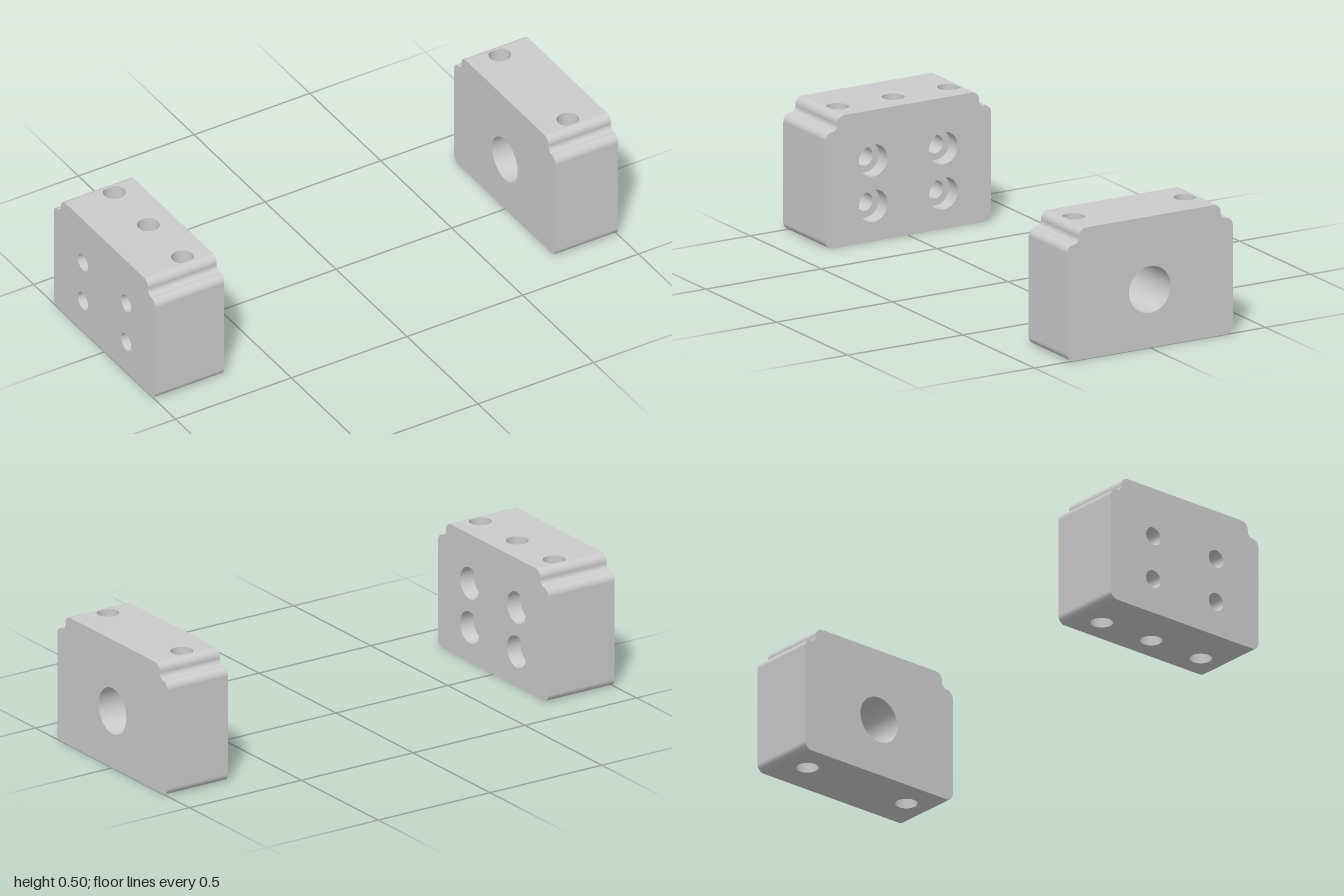
import * as THREE from 'three';

const BOTTOM = 0.003, TOP = 0.508, MID = 0.227;
const solid = new THREE.MeshStandardMaterial({ color: 0xcccccc });
const hollow = new THREE.MeshStandardMaterial({ color: 0xcccccc, side: THREE.DoubleSide });

// One half of the end profile, bottom to top, as tangent quarter arcs:
// centre z, centre y, radius, start and end angle, normal sign
const ARCS = [
  [0.328, 0.033, 0.03, -90, 0, 1],
  [0.328, 0.42, 0.03, 0, 90, 1],
  [0.328, 0.472, 0.022, 270, 180, -1],
  [0.276, 0.478, 0.03, 0, 90, 1],
];

function profile(steps = 10) {
  const pts = [];
  for (const [cz, cy, r, a0, a1, sign] of ARCS) {
    for (let i = 0; i <= steps; i++) {
      const a = THREE.MathUtils.degToRad(a0 + ((a1 - a0) * i) / steps);
      const c = Math.cos(a), s = Math.sin(a);
      pts.push({ z: cz + r * c, y: cy + r * s, nz: sign * c, ny: sign * s });
    }
  }
  return pts;
}

function add(parent, name, geometry, material = solid) {
  const mesh = new THREE.Mesh(geometry, material);
  mesh.name = name;
  parent.add(mesh);
  return mesh;
}

// Flat shape from corner points, pierced by circles [u, v, radius]
function pierced(points, circles) {
  const shape = new THREE.Shape(points.map(([u, v]) => new THREE.Vector2(u, v)));
  for (const [u, v, r] of circles) {
    shape.holes.push(new THREE.Path().absarc(u, v, r, 0, Math.PI * 2, true));
  }
  return new THREE.ShapeGeometry(shape, 24);
}

// Rounded wall swept across the block's width, facing +z
function endWall(pts, w) {
  const pos = [], nor = [], idx = [];
  pts.forEach((p, i) => {
    for (const x of [-w / 2, w / 2]) {
      pos.push(x, p.y, p.z);
      nor.push(0, p.ny, p.nz);
    }
    if (i) {
      const a = 2 * i - 2;
      idx.push(a, a + 1, a + 3, a, a + 3, a + 2);
    }
  });
  const g = new THREE.BufferGeometry();
  g.setAttribute('position', new THREE.Float32BufferAttribute(pos, 3));
  g.setAttribute('normal', new THREE.Float32BufferAttribute(nor, 3));
  g.setIndex(idx);
  return g;
}

// Bore wall along x from x0 to x1
function boreX(parent, name, r, x0, x1, y, z) {
  const g = new THREE.CylinderGeometry(r, r, x1 - x0, 48, 1, true).rotateZ(Math.PI / 2);
  add(parent, name, g, hollow).position.set((x0 + x1) / 2, y, z);
}

// Block shell: two pierced sides, pierced top and bottom, two rounded ends
function makeBlock(name, w, centre, boreOffset, boreZs, outerHoles, innerHoles) {
  const block = new THREE.Group();
  block.name = name;
  block.position.x = centre;
  const pts = profile();
  const outline = [
    ...pts.map((p) => [p.z, p.y]),
    ...pts.map((p) => [-p.z, p.y]).reverse(),
  ];
  add(block, 'leftSide', pierced(outline, outerHoles).rotateY(Math.PI / 2)).position.x = w / 2;
  add(block, 'rightSide', pierced(outline, innerHoles).rotateY(-Math.PI / 2)).position.x = -w / 2;

  add(block, 'frontWall', endWall(pts, w));
  add(block, 'backWall', endWall(pts, w).rotateY(Math.PI));

  const bores = boreZs.map((z) => [boreOffset, z, 0.042]);
  const plate = (d) => pierced([[-w / 2, -d], [w / 2, -d], [w / 2, d], [-w / 2, d]], bores);
  add(block, 'topFace', plate(0.276).rotateX(-Math.PI / 2)).position.y = TOP;
  add(block, 'bottomFace', plate(0.328).rotateX(Math.PI / 2)).position.y = BOTTOM;

  // Vertical through bores
  for (const z of boreZs) {
    const g = new THREE.CylinderGeometry(0.042, 0.042, TOP - BOTTOM, 48, 1, true);
    add(block, 'verticalBore', g, hollow).position.set(boreOffset, (TOP + BOTTOM) / 2, z);
  }
  return block;
}

export function createModel() {
  const model = new THREE.Group();
  model.name = 'clampBlocks';

  // Narrower block with one wide cross bore
  const w1 = 0.27;
  const wide = [[0, MID, 0.09]];
  const shaftBlock = makeBlock('shaftBlock', w1, 0.865, -0.01, [-0.24, 0.24], wide, wide);
  boreX(shaftBlock, 'shaftBore', 0.09, -w1 / 2, w1 / 2, MID, 0);
  model.add(shaftBlock);

  // Wider block with four counterbored screw holes
  const w2 = 0.297, depth = 0.06, big = 0.062, small = 0.035;
  const spots = [];
  for (const z of [-0.152, 0.152]) for (const y of [MID - 0.087, MID + 0.087]) spots.push([z, y]);
  const screwBlock = makeBlock('screwBlock', w2, -0.8515, 0.041, [-0.24, 0, 0.24],
    spots.map((s) => [...s, big]), spots.map((s) => [...s, small]));
  for (const [z, y] of spots) {
    const floor = w2 / 2 - depth;
    boreX(screwBlock, 'counterbore', big, floor, w2 / 2, y, z);
    boreX(screwBlock, 'screwHole', small, -w2 / 2, floor, y, z);
    const ring = new THREE.RingGeometry(small, big, 48).rotateY(Math.PI / 2);
    add(screwBlock, 'counterboreFloor', ring).position.set(floor, y, z);
  }
  model.add(screwBlock);

  return model;
}
